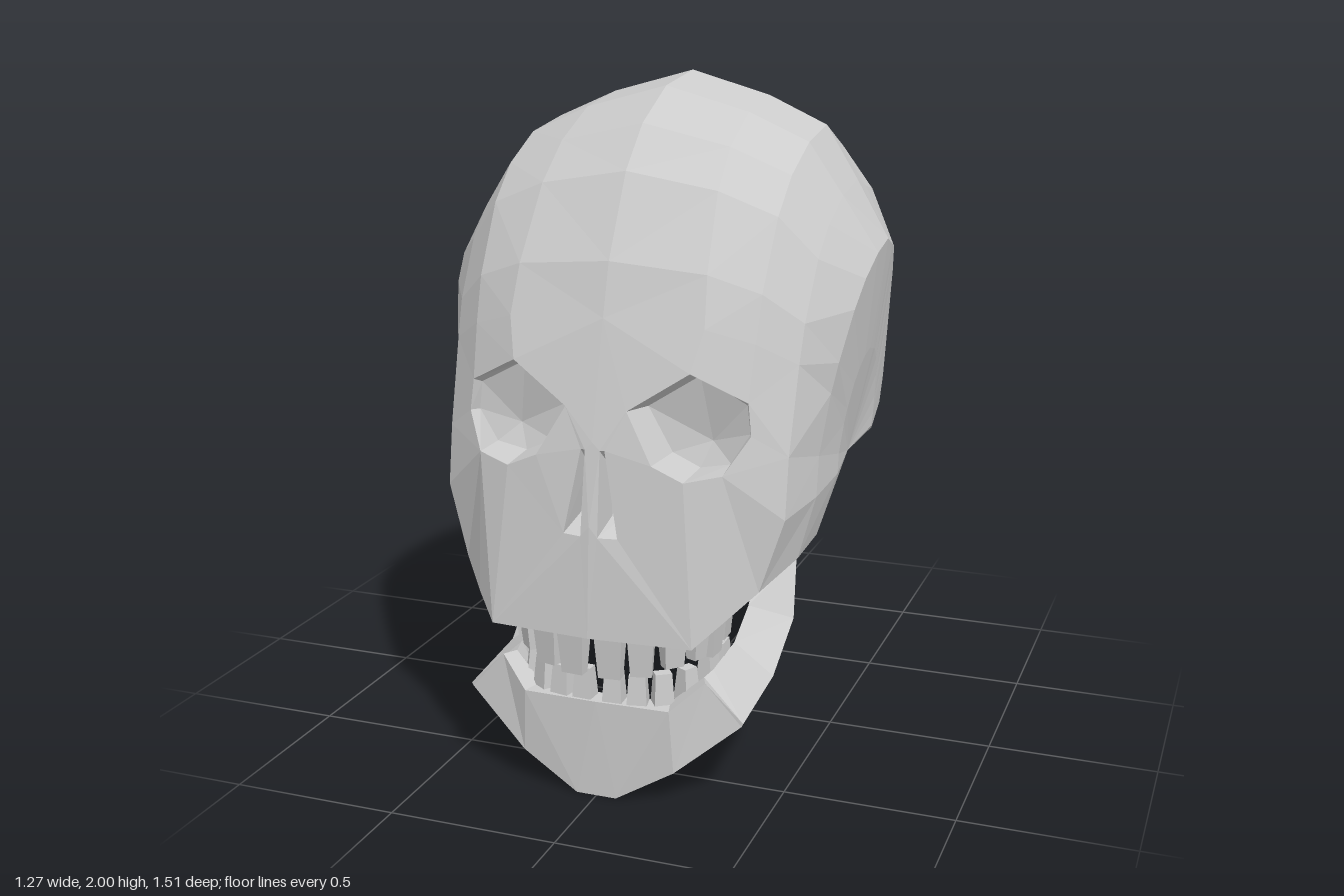
import * as THREE from 'three';

const bone = new THREE.MeshStandardMaterial({ color: 0xcccccc, flatShading: true, side: THREE.DoubleSide });

// Quads between neighbouring rows of points, as a flat triangle list
function grid(rows, keep = () => true) {
  const tris = [];
  for (let i = 0; i < rows.length - 1; i++) {
    for (let j = 0; j < rows[i].length - 1; j++) {
      if (!keep(i, j)) continue;
      const a = rows[i][j], b = rows[i][j + 1], c = rows[i + 1][j + 1], d = rows[i + 1][j];
      tris.push([a, b, c], [a, c, d]);
    }
  }
  return tris;
}

// Mesh made of the given left-half triangles plus their mirror image
function mirroredMesh(name, tris) {
  const pos = [];
  const same = (p, q) => p.every((v, k) => Math.abs(v - q[k]) < 1e-6);
  for (const [a, b, c] of tris) {
    if (same(a, b) || same(b, c) || same(a, c)) continue;
    pos.push(...a, ...b, ...c);
    for (const p of [a, c, b]) pos.push(-p[0], p[1], p[2]);
  }
  const geo = new THREE.BufferGeometry();
  geo.setAttribute('position', new THREE.Float32BufferAttribute(pos, 3));
  geo.computeVertexNormals();
  const mesh = new THREE.Mesh(geo, bone);
  mesh.name = name;
  return mesh;
}

// Half ribs fan out from the temple point: [x, share of the radius]
const FRONT = [[0, 1], [0.3, 0.98], [0.41, 0.89], [0.51, 0.75], [0.55, 0.5], [0.565, 0.25], [0.55, 0]];
const TOP = [[0, 1], [0.25, 0.935], [0.43, 0.86], [0.53, 0.72], [0.635, 0.57], [0.6, 0.28], [0.55, 0]];
const BACK = [[0, 1], [0.16, 1], [0.3, 0.985], [0.45, 0.87], [0.525, 0.66], [0.56, 0.33], [0.55, 0]];
const PIVOT = { z: 0.06, y: 0.91 };

function rib([z, y]) {
  const dz = z - PIVOT.z, dy = y - PIVOT.y;
  const t = Math.pow(dy * dy / (dz * dz + dy * dy), 1.5);
  const side = dz > 0 ? FRONT : BACK;
  return TOP.map(([tx, tf], j) => {
    const x = side[j][0] * (1 - t) + tx * t;
    const f = side[j][1] * (1 - t) + tf * t;
    return [x, PIVOT.y + dy * f, PIVOT.z + dz * f];
  });
}

// Midline profile from nose over the crown to the nape, as [z, y]
const PROFILE = [
  [0.735, 0.82], [0.7, 1.05], [0.615, 1.38], [0.57, 1.53], [0.44, 1.76], [0.31, 1.88], [0.12, 1.97], [-0.11, 2],
  [-0.3, 1.92], [-0.47, 1.85], [-0.64, 1.66], [-0.73, 1.45], [-0.755, 1.22], [-0.735, 1.07], [-0.68, 0.95],
];
const CHEEK_EDGE = [
  [0, 0.5, 0.755], [0.3, 0.5, 0.735], [0.37, 0.565, 0.67], [0.445, 0.635, 0.59],
  [0.505, 0.685, 0.42], [0.51, 0.7, 0.24], [0.55, 0.91, 0.06],
];
const NAPE_EDGE = [
  [0, 0.86, -0.61], [0.16, 0.86, -0.61], [0.28, 0.86, -0.6], [0.42, 0.89, -0.55],
  [0.5, 0.91, -0.48], [0.545, 0.9, -0.25], [0.55, 0.91, 0.06],
];
const BASE_RIM = [
  [0.28, 0.51, 0.68], [0.31, 0.52, 0.6], [0.32, 0.53, 0.5], [0.33, 0.54, 0.42], [0.33, 0.55, 0.31], [0.36, 0.8, 0.1],
  [0.3, 0.7, -0.19], [0.25, 0.76, -0.37], [0.22, 0.79, -0.45], [0.18, 0.82, -0.53], [0.1, 0.84, -0.57], [0, 0.86, -0.61],
];

// Openings in the face, counter-clockwise from the front
const EYE = [
  [0.09, 1.14, 0.675], [0.17, 1, 0.7], [0.26, 0.96, 0.695], [0.36, 0.98, 0.66],
  [0.42, 1.08, 0.595], [0.41, 1.17, 0.59], [0.26, 1.25, 0.64],
];
const NOSTRIL = [[0.022, 1.03, 0.703], [0.025, 0.79, 0.735], [0.08, 0.79, 0.725], [0.035, 1.03, 0.7]];

// Half of the face as fans of triangles around the eye and nostril
function faceTriangles(ribs) {
  const [m0, r1, r2, r3] = ribs[0];
  const [m1, , , k1] = ribs[1];
  const [m2, , , k2] = ribs[2];
  const [m3, t1, t2, k3] = ribs[3];
  const [e0, e1, e2, e3, e4, e5, e6] = EYE;
  const [n0, n1, n2, n3] = NOSTRIL;
  const fans = [
    [r1, r2, e3, e2, n2, n1, m0], [e3, r2, r3, k1, k2, e4], [k2, k3, e5, e4], [e5, k3, t2, e6],
    [e6, t2, t1, m3, e0], [e0, m3, m2, n0, n3, e1], [n2, e2, e1, n3], [m1, m0, n1, n0, m2],
  ];
  return fans.flatMap(([hub, ...arc]) => arc.slice(1).map((p, i) => [hub, arc[i], p]));
}

// Walls and floor of a hollow behind an opening
function hollow(rim, centre, scale, z) {
  const floor = rim.map((p) => [
    centre[0] + (p[0] - centre[0]) * scale, centre[1] + (p[1] - centre[1]) * scale, z,
  ]);
  const ring = (r) => [...r, r[0]];
  const mid = floor.map(() => [centre[0], centre[1], z - 0.03]);
  return grid([ring(rim), ring(floor), ring(mid)]);
}

// Tooth: a box narrowed at one end
function tooth(name, x, y, z, w, h, d, turn, taper) {
  const geo = new THREE.BoxGeometry(w, h, d);
  const p = geo.attributes.position;
  for (let i = 0; i < p.count; i++) {
    if (p.getY(i) * taper > 0) p.setXYZ(i, p.getX(i) * 0.8, p.getY(i), p.getZ(i) * 0.6);
  }
  geo.computeVertexNormals();
  const mesh = new THREE.Mesh(geo, bone);
  mesh.name = name;
  mesh.position.set(x, y, z);
  mesh.rotation.y = turn;
  return mesh;
}

// Row of teeth on both sides: [x, z, width, bottom, top, turn]
function teethRow(name, list, taper) {
  const group = new THREE.Group();
  group.name = name;
  for (const [x, z, w, y0, y1, turn] of list) {
    for (const s of [1, -1]) {
      group.add(tooth('tooth', s * x, (y0 + y1) / 2, z, w, y1 - y0, 0.055, s * turn, taper));
    }
  }
  return group;
}

export function createModel() {
  const model = new THREE.Group();
  model.name = 'skull';

  // Cranium shell, leaving room for the face
  const ribs = [CHEEK_EDGE, ...PROFILE.map(rib), NAPE_EDGE];
  model.add(mirroredMesh('cranium', grid(ribs, (i, j) => i >= 3 || j >= 3)));

  // Face with its openings
  model.add(mirroredMesh('face', faceTriangles(ribs)));
  model.add(mirroredMesh('eyeSockets', hollow(EYE, [0.29, 1.04], 0.9, 0.56)));
  model.add(mirroredMesh('nostrils', hollow(NOSTRIL, [0.04, 0.88], 0.6, 0.64)));

  // Palate and skull base
  const outer = [CHEEK_EDGE[1], ...CHEEK_EDGE.slice(1), ...NAPE_EDGE.slice(0, -1).reverse()];
  const inner = [CHEEK_EDGE[1], ...BASE_RIM];
  const middle = [CHEEK_EDGE[0], ...BASE_RIM.map((p) => [0, p[1], p[2]])];
  model.add(mirroredMesh('skullBase', grid([middle, inner, outer])));

  // Lower jaw: sections of top, outer ridge, bottom and inner corner, chin to hinge
  const jaw = [
    [[0, 0.29, 0.64], [0, 0.29, 0.705], [0, 0, 0.705], [0, 0.05, 0.52]],
    [[0.2, 0.29, 0.63], [0.22, 0.29, 0.7], [0.06, 0, 0.705], [0.1, 0.05, 0.5]],
    [[0.29, 0.365, 0.6], [0.31, 0.37, 0.65], [0.23, 0.1, 0.69], [0.17, 0.06, 0.45]],
    [[0.3, 0.37, 0.55], [0.42, 0.26, 0.64], [0.415, 0.25, 0.64], [0.2, 0.075, 0.42]],
    [[0.3, 0.38, 0.36], [0.42, 0.29, 0.36], [0.24, 0.1, 0.33], [0.21, 0.13, 0.35]],
    [[0.31, 0.46, 0.26], [0.43, 0.41, 0.19], [0.28, 0.26, 0.11], [0.26, 0.3, 0.16]],
    [[0.31, 0.6, 0.13], [0.41, 0.57, 0.1], [0.28, 0.51, 0.02], [0.27, 0.53, 0.06]],
    [[0.29, 0.73, 0.05], [0.385, 0.73, 0.05], [0.28, 0.72, 0.03], [0.27, 0.72, 0.04]],
  ];
  const [t, o, b, n] = jaw[jaw.length - 1];
  model.add(mirroredMesh('lowerJaw', [...grid(jaw.map((s) => [...s, s[0]])), [t, o, b], [t, b, n]]));

  // Teeth
  model.add(teethRow('upperTeeth', [
    [0.055, 0.72, 0.08, 0.38, 0.505, 0.08], [0.14, 0.7, 0.075, 0.39, 0.51, 0.25], [0.215, 0.655, 0.07, 0.41, 0.51, 0.8],
    [0.265, 0.595, 0.06, 0.42, 0.53, 1.2], [0.28, 0.505, 0.08, 0.4, 0.545, 1.5], [0.285, 0.43, 0.08, 0.425, 0.55, 1.6],
  ], -1));
  model.add(teethRow('lowerTeeth', [
    [0.045, 0.67, 0.06, 0.27, 0.38, 0.05], [0.115, 0.665, 0.06, 0.27, 0.375, 0.2], [0.18, 0.64, 0.06, 0.27, 0.38, 0.6],
    [0.235, 0.59, 0.055, 0.29, 0.385, 1.1], [0.27, 0.505, 0.07, 0.3, 0.4, 1.45], [0.28, 0.425, 0.075, 0.31, 0.41, 1.6],
  ], 1));
  return model;
}
